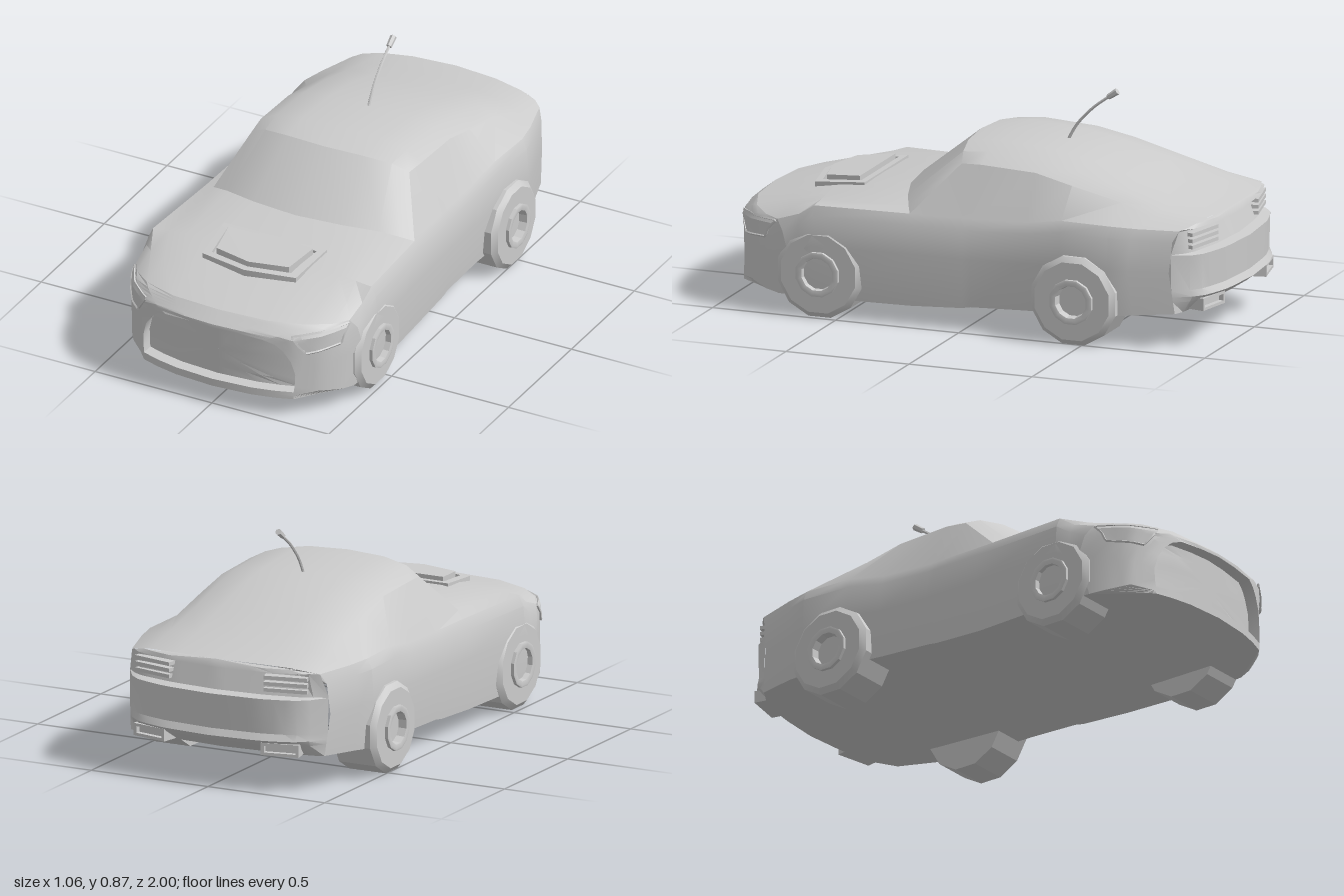
import * as THREE from 'three';
import { toCreasedNormals } from 'three/addons/utils/BufferGeometryUtils.js';

const material = new THREE.MeshStandardMaterial({ color: 0xcccccc });

function part(name, geometry, parent, crease = 0.45) {
  const mesh = new THREE.Mesh(toCreasedNormals(geometry, crease), material);
  mesh.name = name;
  parent.add(mesh);
  return mesh;
}

// Piecewise linear lookup in a table of [key, value]
function lerpTable(table, k) {
  if (k <= table[0][0]) return table[0][1];
  for (let i = 1; i < table.length; i++) {
    const [k0, v0] = table[i - 1], [k1, v1] = table[i];
    if (k <= k1) return v0 + (v1 - v0) * (k - k0) / (k1 - k0);
  }
  return table[table.length - 1][1];
}

// Surface through rows of points
function skin(rows) {
  const n = rows[0].length, index = [];
  for (let i = 0; i < rows.length - 1; i++) {
    for (let j = 0; j < n - 1; j++) {
      const a = i * n + j, b = a + 1, d = a + n, c = d + 1;
      index.push(a, d, c, a, c, b);
    }
  }
  const g = new THREE.BufferGeometry();
  g.setAttribute('position', new THREE.Float32BufferAttribute(rows.flat(2), 3));
  g.setIndex(index);
  return g;
}

// Plan curves of the nose and tail
const nosePlan = [[0, 1], [0.2, 0.985], [0.32, 0.945], [0.4, 0.88], [0.45, 0.8], [0.485, 0.7], [0.5, 0.66]];
const tailPlan = [[0, -0.94], [0.2, -0.925], [0.36, -0.89], [0.41, -0.85], [0.45, -0.8], [0.5, -0.7]];
const noseZ = (x, y) => lerpTable(nosePlan, Math.abs(x)) - 1.3 * Math.max(0, y - 0.34);
const tailZ = x => lerpTable(tailPlan, Math.abs(x));

// Each station: z, bend, half width, belt height, rail x, rail y, centre height
const stations = [
  [1, 0, .485, .36, .42, .365, .38],
  [.85, 0, .49, .39, .42, .4, .415],
  [.6, 0, .495, .43, .4, .437, .45],
  [.34, .6, .475, .43, .4, .447, .482],
  [.11, .5, .47, .43, .335, .615, .665],
  [-.03, 0, .468, .43, .345, .62, .678],
  [-.25, 0, .472, .44, .345, .61, .663],
  [-.4, 0, .485, .465, .35, .575, .637],
  [-.6, 0, .495, .465, .35, .53, .58],
  [-.8, 0, .475, .46, .37, .49, .522],
  [-1, 0, .43, .455, .37, .465, .485],
];

// Half section from the sill up to the centre line
function halfSection([z, , w, beltY, railX, railY, topY]) {
  const rise = t => railY + (topY - railY) * t;
  return [[w - .015, Math.max(.075, .09 - .045 * z)], [w, beltY * .65], [w - .009, beltY - .04],
    [w - .028, beltY], [railX, railY], [railX * .81, rise(.6)], [railX * .48, rise(.92)], [0, topY]];
}
const floorX = [0, .16, .25, .32];
const grilleHalf = [...floorX.map(x => [x, .105]), [.323, .13], [.325, .18], [.31, .235],
  [.28, .28], [.25, .305], [.21, .32], [.1, .327], [0, .328]];

// Closed left-right symmetric ring from a half outline
const ring = half => [...half, ...half.slice(0, -1).reverse().map(([x, y]) => [-x, y])];
function sectionRing(station) {
  const half = halfSection(station);
  return ring([...floorX.map(x => [x, half[0][1]]), ...half]);
}

function buildBody(car) {
  const rows = stations.map(station => sectionRing(station).map(([x, y]) => {
    const [s, bend] = station;
    let z = s - bend * x * x;
    if (s > 0.6) z = 0.6 + (s - 0.6) / 0.4 * (noseZ(x, y) - 0.6);
    if (s < -0.6) z = -0.6 - (s + 0.6) / 0.4 * (0.6 + tailZ(x));
    return [x, y, z];
  }));
  part('bodyShell', skin(rows), car);

  // Front bumper spans from the grille opening to the body rim
  const outer = sectionRing(stations[0]), inner = ring(grilleHalf);
  const bumper = [];
  for (let i = 0; i <= 8; i++) {
    bumper.push(inner.map(([x, y], j) => {
      const px = x + (outer[j][0] - x) * i / 8, py = y + (outer[j][1] - y) * i / 8;
      return [px, py, noseZ(px, py)];
    }));
  }
  part('frontBumper', skin(bumper), car);
  const depth = 0.05;
  part('grilleSurround', skin([depth, 0].map(d => inner.map(([x, y]) => [x, y, noseZ(x, y) - d]))), car);
  part('grillePanel', skin([0.001, 0.35, 0.7, 1].map(t => inner.map(([x, y]) => {
    const px = x * t, py = 0.21 + (y - 0.21) * t;
    return [px, py, noseZ(px, py) - depth];
  }))), car);

  // Stepped tail: lower lip, bumper, recessed light panel, deck lip
  const tailWidth = halfSection(stations[stations.length - 1]).map(([x, y]) => [y, x]);
  const steps = [[.135, .04], [.18, -.03], [.2, -.055], [.225, -.04], [.36, -.045], [.366, 0],
    [.452, .03], [.458, -.015], [.472, -.01], [.485, 0]];
  part('rearBumper', skin(steps.map(([y, step]) => {
    const w = lerpTable(tailWidth, y), row = [];
    for (let j = -10; j <= 10; j++) {
      const u = j / 10;
      row.push([u * w, y, tailZ(u * w) + step * (1 - u ** 6)]);
    }
    return row;
  })), car);
}

function buildHeadlight(car, side) {
  const light = new THREE.Group();
  light.name = side > 0 ? 'leftHeadlight' : 'rightHeadlight';
  const top = [[.31, .345], [.46, .355]], low = [[.36, .27], [.45, .285]];
  const at = (u, v) => {
    const mix = k => (low[0][k] * (1 - u) + low[1][k] * u) * (1 - v) + (top[0][k] * (1 - u) + top[1][k] * u) * v;
    return [mix(0), mix(1), noseZ(mix(0), mix(1)) + 0.006];
  };
  const ts = [0, .2, .4, .6, .8, 1];
  part('lens', skin(ts.map(u => ts.map(v => at(u, v)))), light);
  const rim = [...ts.map(u => [u, 0]), [1, .5], ...[...ts].reverse().map(u => [u, 1]), [0, .5]];
  const path = new THREE.CurvePath();
  const pts = rim.map(([u, v]) => new THREE.Vector3(...at(u, v)));
  pts.forEach((p, i) => path.add(new THREE.LineCurve3(p, pts[(i + 1) % pts.length])));
  part('rim', new THREE.TubeGeometry(path, 60, 0.005, 4, true), light);
  light.scale.x = side;
  car.add(light);
}

// Flat outline in x and z, raised and laid on the sloping hood
function hoodPlate(outline, hole, bottom, height) {
  const toV = ([x, z]) => new THREE.Vector2(x, -z);
  const shape = new THREE.Shape(outline.map(toV));
  if (hole) shape.holes.push(new THREE.Path(hole.map(toV)));
  const g = new THREE.ExtrudeGeometry(shape, { depth: height, bevelEnabled: false });
  g.rotateX(-Math.PI / 2);
  const p = g.attributes.position;
  for (let i = 0; i < p.count; i++) {
    p.setY(i, p.getY(i) + bottom + 0.46 - 0.11 * (p.getZ(i) - 0.5) - 0.15 * p.getX(i) ** 2);
  }
  return g;
}

function buildWheel(car, side, z, outerX, name) {
  const profile = [[0, -.175], [.176, -.175], [.176, -.018], [.155, 0], [.088, 0], [.088, .013], [.08, .015],
    [.064, .012], [.06, -.02], [0, -.02]].map(p => new THREE.Vector2(...p));
  const g = new THREE.LatheGeometry(profile, 12);
  g.rotateY(Math.PI / 12);
  g.rotateZ(-Math.PI / 2);
  const wheel = part(name, g, car);
  wheel.position.set(side * outerX, 0.17, z);
  wheel.scale.x = side;
}

export function createModel() {
  const car = new THREE.Group();
  car.name = 'car';
  buildBody(car);

  // Hood scoop
  const scoop = (wb, zb, wf, zf, zc) => [[-wb, zb], [-wf, zf], [0, zc], [wf, zf], [wb, zb]];
  part('scoopFrame', hoodPlate(scoop(.22, .495, .2, .705, .745), scoop(.19, .52, .17, .685, .72), -.03, .046), car);
  part('scoopPanel', hoodPlate(scoop(.18, .53, .155, .675, .71), null, -.03, .06), car);

  for (const side of [1, -1]) {
    const label = side > 0 ? 'left' : 'right';
    buildHeadlight(car, side);
    buildWheel(car, side, 0.575, 0.492, label + 'FrontWheel');
    buildWheel(car, side, -0.465, 0.515, label + 'RearWheel');
    // Tail light bars
    for (const y of [0.388, 0.412, 0.436]) {
      const bar = part(label + 'TailLightBar', new THREE.BoxGeometry(0.17, 0.014, 0.05), car);
      bar.position.set(side * 0.28, y, -0.892);
      bar.rotation.y = -side * 0.22;
    }
    // Exhaust surround with inset outlet
    const vent = new THREE.Group();
    vent.name = label + 'Exhaust';
    const rect = (w, h) => [[-w, -h], [w, -h], [w, h], [-w, h]].map(p => new THREE.Vector2(...p));
    const shape = new THREE.Shape(rect(.075, .024));
    shape.holes.push(new THREE.Path(rect(.062, .013)));
    part('surround', new THREE.ExtrudeGeometry(shape, { depth: 0.07, bevelEnabled: false }), vent);
    part('outlet', new THREE.BoxGeometry(0.13, 0.03, 0.04), vent).position.z = 0.04;
    vent.position.set(side * 0.28, 0.165, -0.95);
    vent.rotation.y = -side * 0.2;
    car.add(vent);
  }

  // Curved roof antenna
  const curve = new THREE.CatmullRomCurve3([[0, .65, -.24], [0, .72, -.28], [0, .79, -.345], [0, .84, -.41]]
    .map(p => new THREE.Vector3(...p)));
  part('antenna', new THREE.TubeGeometry(curve, 10, 0.006, 6), car);
  const tip = part('antennaTip', new THREE.CylinderGeometry(0.013, 0.011, 0.045, 6), car);
  tip.position.set(0, 0.85, -0.425);
  tip.rotation.x = -0.97;
  return car;
}
